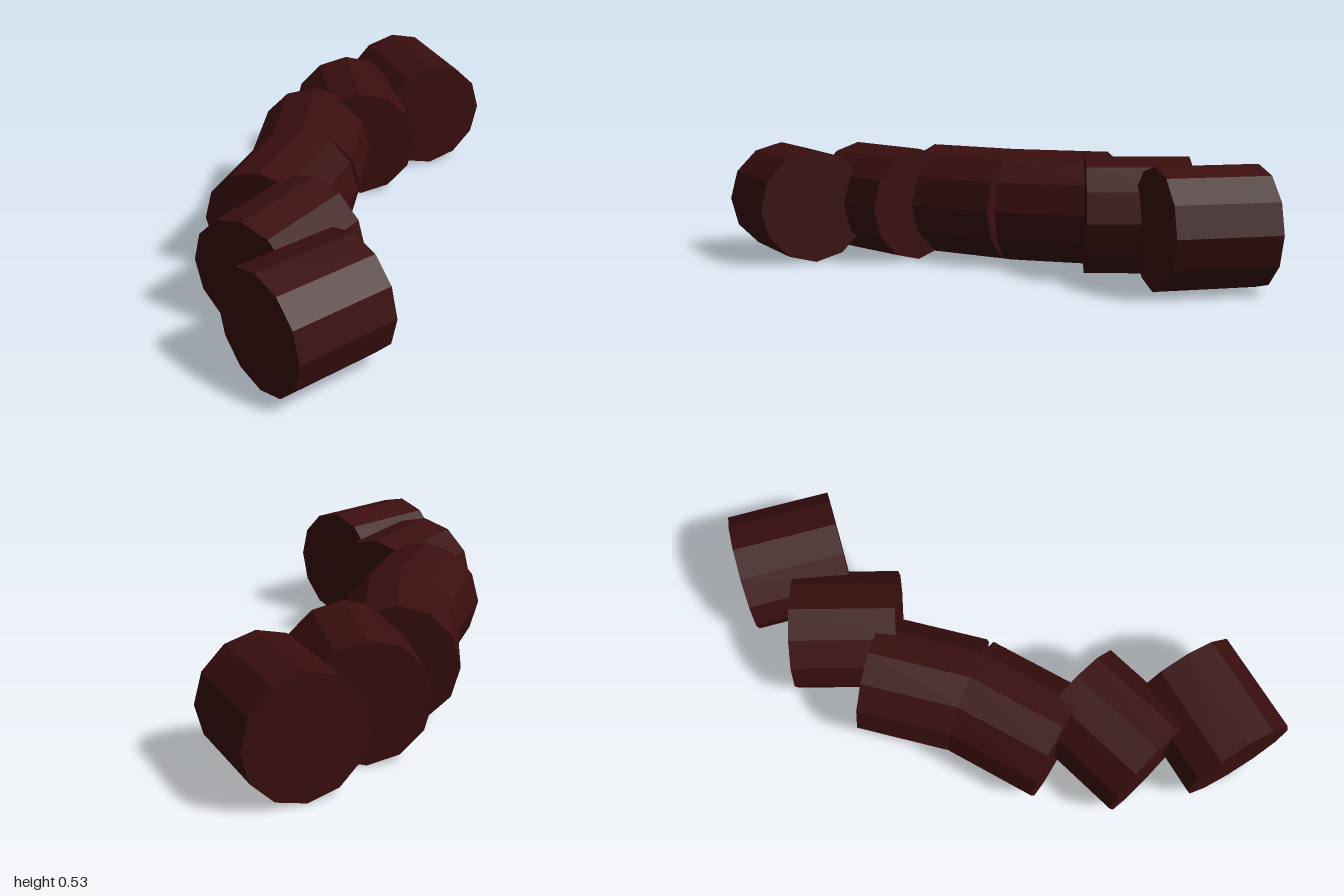
import * as THREE from 'three';

export function createModel() {
  const group = new THREE.Group();
  group.name = 'segmentedArc';

  const darkRed = new THREE.MeshStandardMaterial({ color: 0x3a0e0e, flatShading: true });
  darkRed.name = 'darkRed';

  // Twelve-sided drum lying along z, with a vertex row at the top
  const radius = 0.267, length = 0.467;
  const drum = new THREE.CylinderGeometry(radius, radius, length, 12);
  drum.rotateX(Math.PI / 2);

  // Six drums spread over a quarter arc in 15 degree steps
  const centre = 0.92, arcRadius = 1.668;
  for (let i = 0; i < 6; i++) {
    const a = THREE.MathUtils.degToRad(7.5 + 15 * i);
    const segment = new THREE.Mesh(drum, darkRed);
    segment.name = `segment${i + 1}`;
    segment.position.set(
      centre - arcRadius * Math.sin(a),
      radius,
      centre - arcRadius * Math.cos(a)
    );
    segment.rotation.y = -a;
    group.add(segment);
  }
  return group;
}
